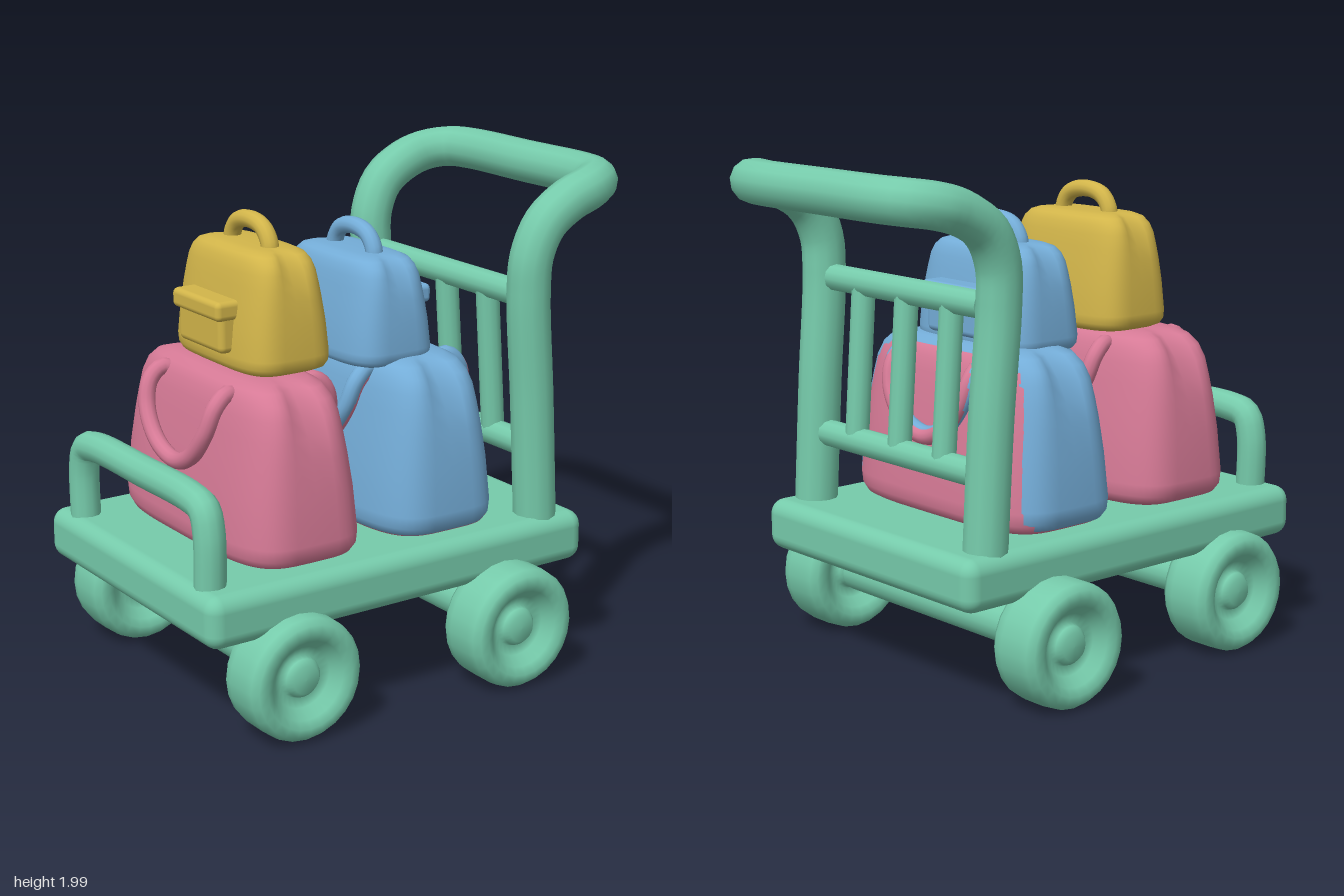
import * as THREE from 'three';
import { RoundedBoxGeometry } from 'three/addons/geometries/RoundedBoxGeometry.js';

const material = (name, color) => {
  const m = new THREE.MeshStandardMaterial({ color });
  m.name = name;
  return m;
};

export function createModel() {
  const model = new THREE.Group();
  model.name = 'luggageTrolley';
  const green = material('green', 0x76cbab);
  const pink = material('pink', 0xd67a96);
  const blue = material('blue', 0x74add8);
  const yellow = material('yellow', 0xd2b54a);

  function add(parent, name, geometry, mat, x = 0, y = 0, z = 0) {
    const mesh = new THREE.Mesh(geometry, mat);
    mesh.name = name;
    mesh.position.set(x, y, z);
    parent.add(mesh);
    return mesh;
  }

  // Tube through a half path that is mirrored across z = 0; the last point lies on z = 0
  function mirroredTube(half, radius, segments = 64) {
    const other = half.slice(0, -1).reverse().map(([x, y, z]) => [x, y, -z]);
    const points = [...half, ...other].map((p) => new THREE.Vector3(...p));
    return new THREE.TubeGeometry(new THREE.CatmullRomCurve3(points), segments, radius, 12);
  }

  // Deck
  add(model, 'deck', new RoundedBoxGeometry(1.74, 0.205, 1.26, 4, 0.06), green, -0.13, 0.518, 0);

  // Wheels and axles
  const wheelProfile = [[0, 0.09], [0.055, 0.088], [0.075, 0.065], [0.085, 0.04], [0.12, 0.06],
    [0.155, 0.1], [0.185, 0.118], [0.22, 0.112], [0.24, 0.085], [0.244, 0.05]];
  const wheelPoints = [
    ...wheelProfile.map(([r, h]) => new THREE.Vector2(r, -h)),
    ...wheelProfile.slice().reverse().map(([r, h]) => new THREE.Vector2(r, h)),
  ];
  const wheelGeometry = new THREE.LatheGeometry(wheelPoints, 24).rotateX(Math.PI / 2);
  const axleGeometry = new THREE.CylinderGeometry(0.08, 0.08, 1.12, 16).rotateX(Math.PI / 2);
  for (const [x, z] of [[-0.63, 0.595], [0.33, 0.66]]) {
    add(model, 'axle', axleGeometry, green, x, 0.255, 0);
    for (const side of [-1, 1]) add(model, 'wheel', wheelGeometry, green, x, 0.252, side * z);
  }

  // Push handle
  add(model, 'pushHandle', mirroredTube([
    [0.57, 0.56, 0.52], [0.538, 1.1, 0.52], [0.505, 1.52, 0.525], [0.512, 1.67, 0.53],
    [0.57, 1.79, 0.535], [0.68, 1.865, 0.535], [0.79, 1.9, 0.525], [0.875, 1.914, 0.47],
    [0.905, 1.917, 0.36], [0.905, 1.917, 0],
  ], 0.086, 120), green);

  // Low hoop at the other end
  add(model, 'endHoop', mirroredTube([
    [-0.91, 0.56, 0.475], [-0.91, 0.82, 0.475], [-0.91, 0.9, 0.445],
    [-0.91, 0.922, 0.36], [-0.91, 0.925, 0],
  ], 0.06), green);

  // Rails and slats between the handle posts
  const railGeometry = new THREE.CylinderGeometry(0.053, 0.053, 0.9, 12).rotateX(Math.PI / 2);
  add(model, 'upperRail', railGeometry, green, 0.507, 1.51, 0);
  add(model, 'lowerRail', railGeometry, green, 0.552, 0.892, 0);
  for (const z of [-0.265, 0, 0.265]) {
    const slat = add(model, 'slat', new THREE.CylinderGeometry(0.047, 0.047, 0.6, 12), green, 0.53, 1.2, z);
    slat.rotation.z = 0.072;
  }

  // Bag body: rounded cross-sections stacked upward, pinched at both ends near the top
  function bagGeometry(hx, hz, height) {
    // height, width, length, pinch (all relative)
    const rows = [
      [0, 0, 0, 0], [0, 0.84, 0.87, 0], [0.025, 0.94, 0.95, 0], [0.07, 0.99, 0.99, 0],
      [0.14, 1, 1, 0], [0.4, 0.94, 0.975, 0], [0.6, 0.86, 0.95, 0.02], [0.72, 0.81, 0.925, 0.05],
      [0.83, 0.76, 0.895, 0.1], [0.91, 0.7, 0.845, 0.14], [0.965, 0.62, 0.765, 0.14],
      [0.99, 0.5, 0.66, 0.1], [1, 0.34, 0.5, 0.05], [1, 0, 0, 0],
    ];
    const n = 56, positions = [], index = [];
    const soften = (v) => Math.sign(v) * Math.abs(v) ** 0.5;
    rows.forEach(([t, w, l, pinch], row) => {
      for (let i = 0; i < n; i++) {
        const a = (i / n) * Math.PI * 2;
        const u = soften(Math.cos(a));
        const dip = 1 - pinch * Math.exp(-((u / 0.28) ** 2));
        positions.push(u * w * hx, t * height, soften(Math.sin(a)) * l * hz * dip);
        if (row === 0) continue;
        const j = (i + 1) % n, lo = (row - 1) * n, hi = row * n;
        index.push(lo + i, hi + i, hi + j, lo + i, hi + j, lo + j);
      }
    });
    const g = new THREE.BufferGeometry();
    g.setAttribute('position', new THREE.Float32BufferAttribute(positions, 3));
    g.setIndex(index);
    g.computeVertexNormals();
    return g;
  }

  // Large bag with a hanging strap on each broad side
  function largeBag(name, mat, x) {
    const bag = new THREE.Group();
    bag.name = name;
    bag.position.set(x, 0.62, 0);
    add(bag, 'bagBody', bagGeometry(0.273, 0.56, 0.675), mat);
    for (const s of [-1, 1]) {
      add(bag, 'strap', mirroredTube([
        [s * 0.13, 0.6, 0.22], [s * 0.19, 0.625, 0.235], [s * 0.245, 0.58, 0.24],
        [s * 0.275, 0.48, 0.215], [s * 0.285, 0.37, 0.125], [s * 0.283, 0.325, 0],
      ], 0.033, 48), mat);
    }
    model.add(bag);
    return bag;
  }
  largeBag('largePinkBag', pink, -0.49);
  largeBag('largeBlueBag', blue, 0.14);
  // Pink bag nested in the blue one, showing on its handle side
  const nested = largeBag('nestedPinkBag', pink, 0.149);
  nested.position.y = 0.612;
  nested.scale.z = 0.975;

  // Small bag with a top handle and a flapped pocket on one side
  function smallBag(name, mat, x, y, height, side) {
    const bag = new THREE.Group();
    bag.name = name;
    bag.position.set(x, y, 0);
    add(bag, 'bagBody', bagGeometry(0.193, 0.335, height), mat);
    add(bag, 'topHandle', mirroredTube([
      [0, height - 0.06, 0.135], [0, height + 0.01, 0.13], [0, height + 0.06, 0.09], [0, height + 0.08, 0],
    ], 0.034, 32), mat);
    const pocket = new THREE.Group();
    pocket.name = 'pocket';
    pocket.position.set(side * 0.18, height * 0.37, 0);
    add(pocket, 'pocketBody', new RoundedBoxGeometry(0.11, 0.19, 0.31, 3, 0.025), mat);
    add(pocket, 'pocketFlap', new RoundedBoxGeometry(0.15, 0.075, 0.335, 3, 0.022), mat, 0, 0.07, 0);
    bag.add(pocket);
    model.add(bag);
  }
  smallBag('smallYellowBag', yellow, -0.42, 1.295, 0.455, -1);
  smallBag('smallBlueBag', blue, 0.055, 1.255, 0.415, 1);

  return model;
}
